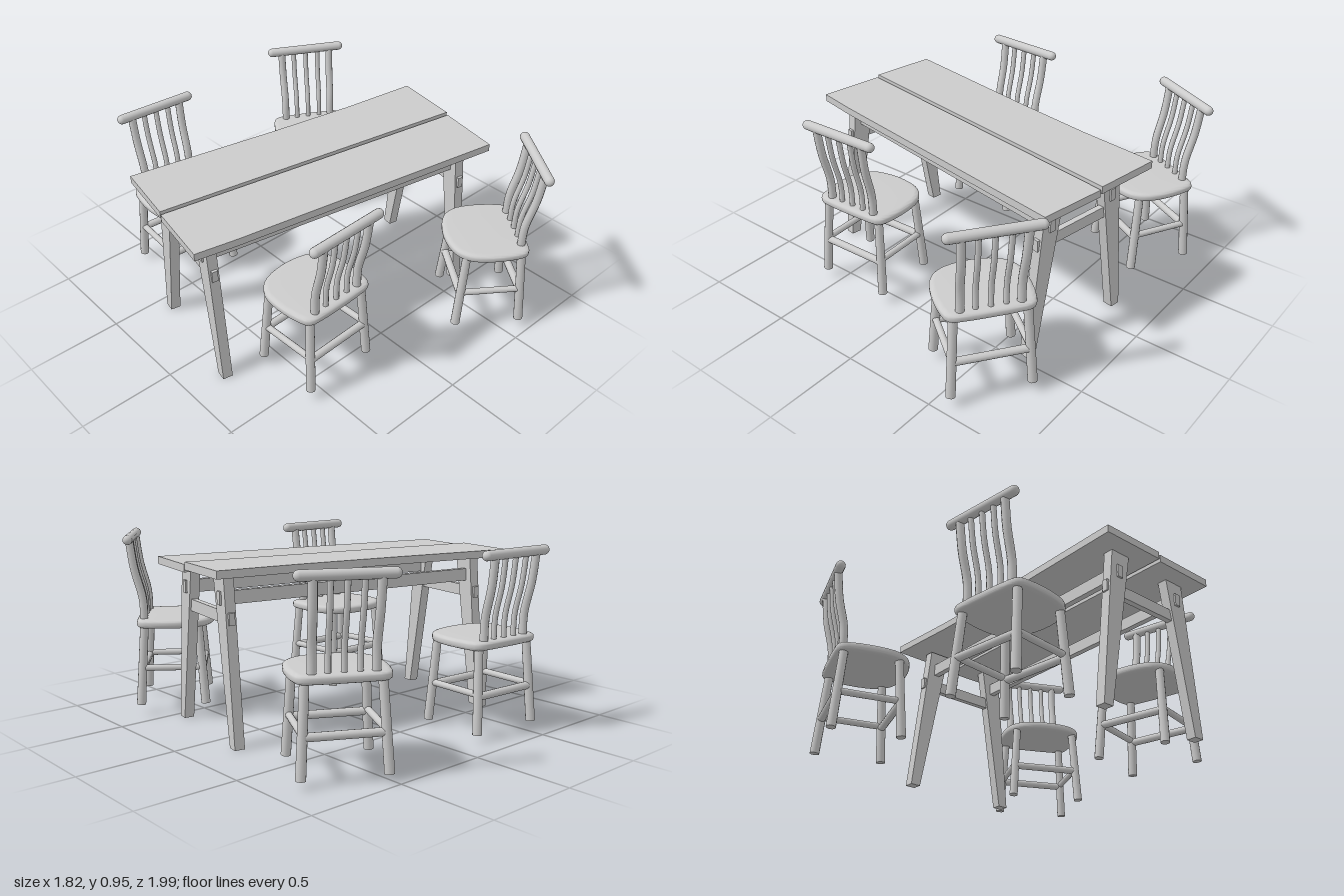
import * as THREE from 'three';
import { toCreasedNormals } from 'three/addons/utils/BufferGeometryUtils.js';

const material = new THREE.MeshStandardMaterial({ color: 0xcccccc });

function add(parent, name, geometry, x = 0, y = 0, z = 0) {
  const mesh = new THREE.Mesh(geometry, material);
  mesh.name = name;
  mesh.position.set(x, y, z);
  parent.add(mesh);
  return mesh;
}

// Round bar between two points
function rod(parent, name, a, b, radiusA, radiusB = radiusA) {
  const start = new THREE.Vector3(...a), end = new THREE.Vector3(...b);
  const dir = end.clone().sub(start);
  const mesh = add(parent, name, new THREE.CylinderGeometry(radiusB, radiusA, dir.length(), 12));
  mesh.position.copy(start).lerp(end, 0.5);
  mesh.quaternion.setFromUnitVectors(new THREE.Vector3(0, 1, 0), dir.normalize());
}

// Flat outline (x, z) turned into a slab that rises from y = 0
function slab(shape, options) {
  return new THREE.ExtrudeGeometry(shape, options).rotateX(-Math.PI / 2);
}

// Table leg: tapers towards the foot and splays outwards
function tableLegGeometry(side) {
  const height = 0.82;
  const geometry = new THREE.BoxGeometry(0.052, height, 1);
  const p = geometry.attributes.position;
  for (let i = 0; i < p.count; i++) {
    const top = p.getY(i) > 0;
    p.setY(i, top ? height : 0);
    p.setZ(i, side * (top ? 0.19 : 0.305) + p.getZ(i) * (top ? 0.115 : 0.056));
  }
  const flat = geometry.toNonIndexed();
  flat.computeVertexNormals();
  return flat;
}

function createTable() {
  const table = new THREE.Group();
  table.name = 'table';

  // Two planks with slightly uneven outer edges
  const planks = [
    ['backPlank', 0.823, [[-0.85, -0.003], [0.85, -0.002], [0.846, -0.358], [0.42, -0.34], [-0.04, -0.339], [-0.849, -0.353]]],
    ['frontPlank', 0.81, [[-0.849, 0.353], [-0.63, 0.36], [0.845, 0.359], [0.85, 0.007], [-0.85, 0.004]]],
  ];
  for (const [name, y, points] of planks) {
    const shape = new THREE.Shape(points.map(([x, z]) => new THREE.Vector2(x, -z)));
    add(table, name, slab(shape, { depth: 0.039, bevelEnabled: false }), 0, y, 0).rotation.z = 0.006;
  }

  // Trestles: a pair of legs joined by a through crossbar
  const frame = new THREE.Group();
  frame.name = 'tableFrame';
  frame.position.z = 0.015;
  table.add(frame);
  for (const x of [-0.73, 0.73]) {
    for (const side of [-1, 1]) add(frame, 'tableLeg', tableLegGeometry(side), x, 0, 0);
    add(frame, 'crossbar', new THREE.BoxGeometry(0.03, 0.06, 0.56), x, 0.62, 0);
  }
  // Long rails whose ends pass through the legs
  for (const z of [-0.205, 0.205]) {
    add(frame, 'longRail', new THREE.BoxGeometry(1.53, 0.065, 0.032), 0, 0.712, z);
  }
  return table;
}

function createChair() {
  const chair = new THREE.Group();
  chair.name = 'chair';

  // Rounded seat, straighter at the back and bowed at the front
  const half = [[0.11, -0.17], [0.188, -0.158], [0.21, -0.1], [0.216, 0.05], [0.195, 0.13], [0.14, 0.185]];
  const outline = [
    [0, -0.172], ...half, [0, 0.213],
    ...half.map(([x, z]) => [-x, z]).reverse(),
  ].map(([x, z]) => new THREE.Vector3(x, -z, 0));
  const curve = new THREE.CatmullRomCurve3(outline, true);
  const shape = new THREE.Shape(curve.getPoints(48).slice(0, -1).map(p => new THREE.Vector2(p.x, p.y)));
  const seat = slab(shape, {
    depth: 0.015, bevelThickness: 0.015, bevelSize: 0.026, bevelOffset: -0.014, bevelSegments: 4,
  });
  add(chair, 'seat', toCreasedNormals(seat, 0.7), 0, 0.425, 0);

  // Splayed legs with stretchers on all four sides
  const legAt = (sx, sz, y) => [sx * (0.195 - 0.058 * y), y, sz * (0.17 - 0.07 * y)];
  for (const s of [-1, 1]) {
    for (const t of [-1, 1]) rod(chair, 'chairLeg', legAt(s, t, 0), legAt(s, t, 0.42), 0.024, 0.022);
    rod(chair, 'crossStretcher', legAt(-1, s, 0.185), legAt(1, s, 0.185), 0.02);
    rod(chair, 'sideStretcher', legAt(s, -1, 0.195), legAt(s, 1, 0.195), 0.017);
  }

  // Five bent back posts, the outer pair thicker
  for (let i = -2; i <= 2; i++) {
    const x = i * 0.07;
    const path = new THREE.CatmullRomCurve3([
      new THREE.Vector3(x, 0.43, -0.143),
      new THREE.Vector3(x, 0.56, -0.147),
      new THREE.Vector3(x * 1.02, 0.72, -0.185),
      new THREE.Vector3(x * 1.04, 0.875, -0.205),
    ]);
    const outer = Math.abs(i) === 2;
    add(chair, outer ? 'backPost' : 'backSpindle', new THREE.TubeGeometry(path, 14, outer ? 0.021 : 0.014, 10));
  }

  // Rounded top rail
  const rail = new THREE.CapsuleGeometry(0.025, 0.405, 6, 14).rotateZ(Math.PI / 2);
  add(chair, 'topRail', rail, 0, 0.875, -0.205);
  return chair;
}

export function createModel() {
  const model = new THREE.Group();
  model.name = 'diningSet';

  const table = createTable();
  table.position.set(-0.015, 0, -0.005);
  table.rotation.y = -0.175;
  model.add(table);

  // Chairs: name, x, height, z, turn
  const places = [
    ['backRightChair', -0.377, 0.035, -0.695, -0.06],
    ['backLeftChair', 0.604, 0.035, -0.7, -0.49],
    ['frontRightChair', -0.388, 0.055, 0.41, Math.PI + 0.04],
    ['frontLeftChair', 0.559, 0.055, 0.684, -2.2],
  ];
  for (const [name, x, y, z, turn] of places) {
    const chair = createChair();
    chair.name = name;
    chair.position.set(x, y, z);
    chair.rotation.y = turn;
    model.add(chair);
  }
  return model;
}
